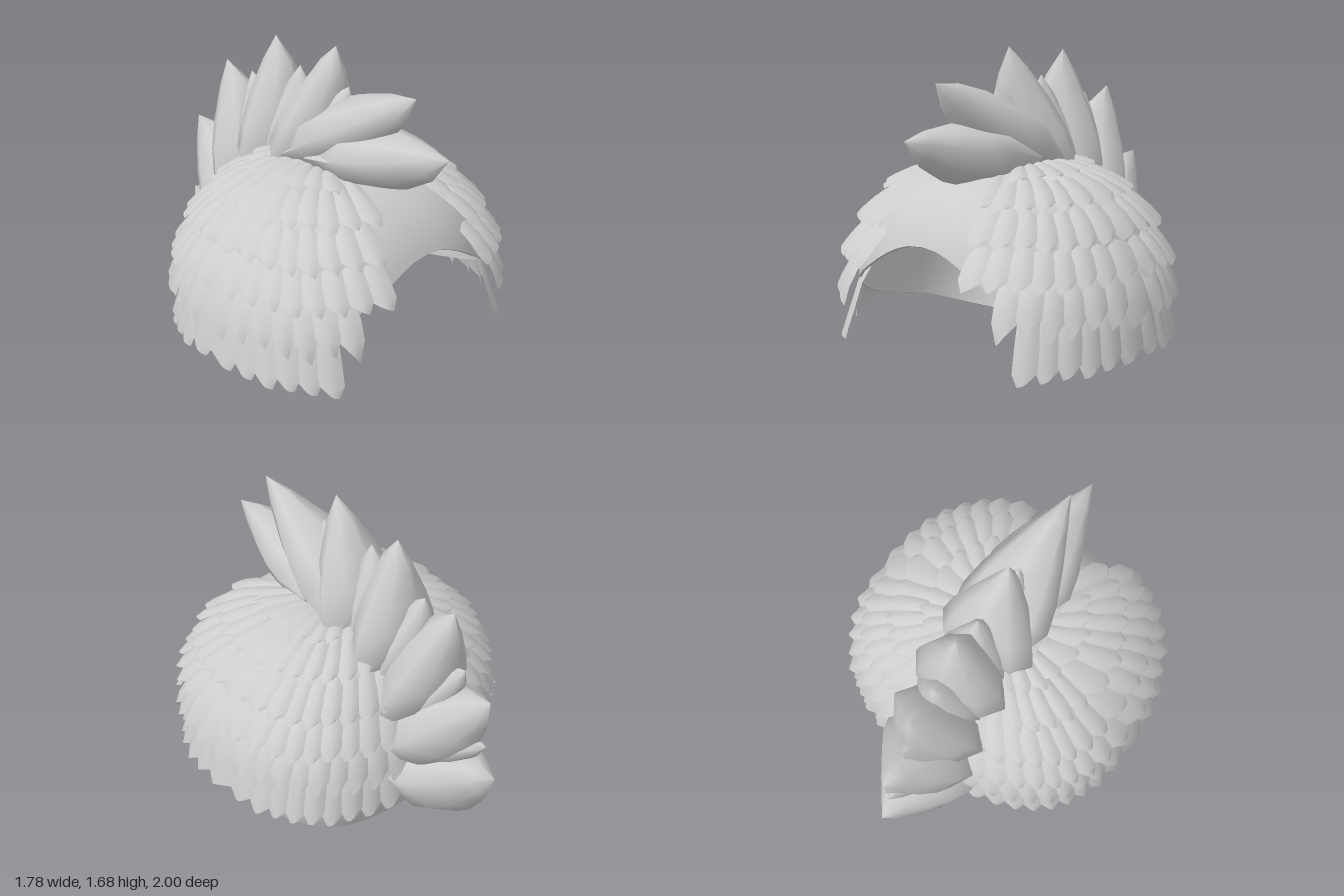
import * as THREE from 'three';
import { mergeGeometries, toCreasedNormals } from 'three/addons/utils/BufferGeometryUtils.js';

const TOP = 1.09, CY = 0.36, CZ = 0.18, RX = 0.8, RY = TOP - CY, EY = 0.79;
const spow = (v, e) => Math.sign(v) * Math.pow(Math.abs(v), e);

// Surface from rows of points, listed top to bottom; wrap closes each row
function loft(rows, wrap, crease) {
  const n = rows[0].length, index = [];
  for (let i = 0; i < rows.length - 1; i++) {
    for (let j = 0; j < (wrap ? n : n - 1); j++) {
      const a = i * n + j, b = i * n + (j + 1) % n;
      index.push(a, a + n, b, b, a + n, b + n);
    }
  }
  const geo = new THREE.BufferGeometry().setFromPoints(rows.flat());
  geo.setIndex(index);
  if (crease) return toCreasedNormals(geo, crease);
  geo.computeVertexNormals();
  return geo;
}

// Point on the dome: phi runs from the front round by +x, theta is elevation
function dome(phi, theta, offset = 0) {
  const c = Math.cos(phi), s = Math.sin(phi);
  const e = c > 0 ? 0.83 : 0.77, rz = c > 0 ? 0.76 : 0.66;
  const f = spow(Math.max(0, Math.cos(theta)), EY);
  const x = RX * f * spow(s, e), y = RY * spow(Math.sin(theta), EY), z = rz * f * spow(c, e);
  const normal = new THREE.Vector3(x / RX ** 2, y / RY ** 2, z / rz ** 2).normalize();
  return new THREE.Vector3(x, CY + y, CZ + z).addScaledVector(normal, offset);
}

// Lower edge of the cap: an arch over the face falling to a deep nape
const edgeCurve = new THREE.SplineCurve(
  [0.54, 0.73, 0.54, 0.33, 0.18, 0.06, 0, 0].map((y, i) => new THREE.Vector2(i, y)));
function edgeTheta(phi) {
  const a = Math.abs(phi);
  const y = Math.max(0, edgeCurve.getPoint((a + Math.PI / 6) / (Math.PI * 7 / 6)).y);
  return Math.asin(spow((y - CY) / RY, 1 / EY));
}

function capGeometry() {
  const rows = [], steps = 20, around = 72;
  const addRow = (t, offset) => rows.push(Array.from({ length: around }, (_, j) => {
    const phi = -Math.PI + (j / around) * Math.PI * 2;
    return dome(phi, THREE.MathUtils.lerp(Math.PI / 2, edgeTheta(phi), t), offset);
  }));
  for (let i = 0; i <= steps; i++) addRow(i / steps, 0);
  for (let i = steps; i >= 0; i--) addRow(i / steps, -0.015);
  return loft(rows, true, 0.8);
}

// One overlapping feather, rooted inside the dome and flaring at its tip
function feather(phi, halfWidth, theta, length, root, flare) {
  const rows = [[0, 0.8], [0.3, 1], [0.6, 1.05], [0.87, 0.97], [1, 0.5]].map(([v, w]) =>
    [-1, -0.5, 0, 0.5, 1].map(u => dome(
      phi + u * w * halfWidth - (v - 0.5) * halfWidth * 0.8,
      Math.min(1.5, theta + length * (1 - v) + (v === 1 ? u * 0.02 : 0)),
      THREE.MathUtils.lerp(root, flare, v) + 0.015 * (1 - u * u))));
  return loft(rows, false);
}

// Rows of feathers: tip elevation, nearest x to the face, length, root depth, flare
const featherRows = [
  [-0.18, 0.58, 0.34, -0.06, 0.075], [0.01, 0.49, 0.36, -0.06, 0.08], [0.2, 0.37, 0.42, -0.06, 0.075],
  [0.46, 0.33, 0.46, -0.03, 0.05], [0.78, 0.28, 0.48, -0.01, 0.03], [1.1, 0.3, 0.3, 0, 0.022],
];

function featherSide() {
  const parts = [];
  let seed = 7;
  const rnd = () => (seed = (seed * 16807) % 2147483647) / 2147483647 - 0.5;
  featherRows.forEach(([theta, frontX, length, root, flare], r) => {
    const radius = RX * spow(Math.cos(theta), EY);
    const start = Math.asin(spow(Math.min(0.9, frontX / radius), 1 / 0.83));
    const end = Math.PI - Math.asin(spow(Math.min(0.9, 0.24 / radius), 1 / 0.77));
    const count = Math.max(3, Math.round((end - start) * radius / 0.125));
    const step = (end - start) / count;
    for (let k = 0; k <= count; k++) {
      const phi = start + (k + (r % 2) * 0.3) * step;
      const frontFlare = 0.035 * Math.max(0, Math.cos(phi)) * Math.cos(theta);
      parts.push(feather(phi, step * 0.56, theta + rnd() * 0.03, length, root,
        flare + frontFlare + rnd() * 0.012));
    }
  });
  return mergeGeometries(parts);
}

// Crest spike: rounded kite-shaped blade from base to tip in (z, y), with
// separate thickness on the side facing forward and the side facing outward
const section = [[1, 0], [0.72, -0.6], [0, -1], [-0.72, -0.6], [-1, 0], [-0.72, 0.64], [0, 1], [0.72, 0.64]];
function spike([bz, by], [tz, ty], width, front, back) {
  const d = new THREE.Vector3(0, ty - by, tz - bz);
  const len = d.length();
  d.normalize();
  const n = new THREE.Vector3(0, -d.z, d.y);
  // distance along the blade, width factor, front and back thickness factors
  const rings = [[1, 0, 0, 0], [0.77, 0.27, 0.6, 0.45], [0.45, 0.62, 0.92, 0.8],
    [0.2, 0.86, 1, 0.95], [-0.04, 1, 0.95, 1], [-0.24 / len, 0.95, 0.75, 0.25], [-0.24 / len, 0, 0, 0]];
  const rows = rings.map(([t, w, f, b]) => section.map(([x, s]) =>
    new THREE.Vector3(x * w * width, by, bz)
      .addScaledVector(d, t * len)
      .addScaledVector(n, s > 0 ? s * f * front : s * b * back)));
  return loft(rows, true, 1.45);
}

// Base, tip, half width, front and back thickness
const largeSpikes = [
  [[0.44, 1.17], [1.0, 1.29], 0.25, 0.2, 0.14],
  [[0.2, 1.19], [0.77, 1.55], 0.27, 0.17, 0.17],
  [[0.02, 1.12], [0.2, 1.68], 0.29, 0.17, 0.18],
  [[-0.24, 1.03], [-0.26, 1.62], 0.29, 0.18, 0.19],
  [[-0.46, 0.83], [-0.67, 1.37], 0.29, 0.18, 0.2],
  [[-0.55, 0.6], [-0.94, 0.95], 0.29, 0.17, 0.26],
  [[-0.58, 0.35], [-1.0, 0.47], 0.29, 0.13, 0.33],
];
const smallSpikes = [
  [[0.12, 1.14], [0.3, 1.48]], [[-0.12, 1.1], [-0.07, 1.5]], [[-0.36, 0.98], [-0.46, 1.36]],
  [[-0.52, 0.72], [-0.76, 1.06]], [[-0.57, 0.47], [-0.93, 0.65]],
];

export function createModel() {
  const model = new THREE.Group();
  const grey = new THREE.MeshStandardMaterial({ color: 0xcccccc, side: THREE.DoubleSide });
  grey.name = 'light grey';
  const add = (geo, name, parent = model) => {
    const mesh = new THREE.Mesh(geo, grey);
    mesh.name = name;
    parent.add(mesh);
  };

  add(capGeometry(), 'cap');

  // Feathers, mirrored
  const side = featherSide();
  add(side, 'leftFeathers');
  const mirrored = side.clone().scale(-1, 1, 1);
  mirrored.computeVertexNormals();
  add(mirrored, 'rightFeathers');

  // Crest
  const crest = new THREE.Group();
  crest.name = 'crest';
  model.add(crest);
  largeSpikes.forEach((s, i) => add(spike(...s), 'largeSpike' + (i + 1), crest));
  smallSpikes.forEach(([base, tip], i) =>
    add(spike(base, tip, 0.2, 0.13, 0.13), 'smallSpike' + (i + 1), crest));
  return model;
}
